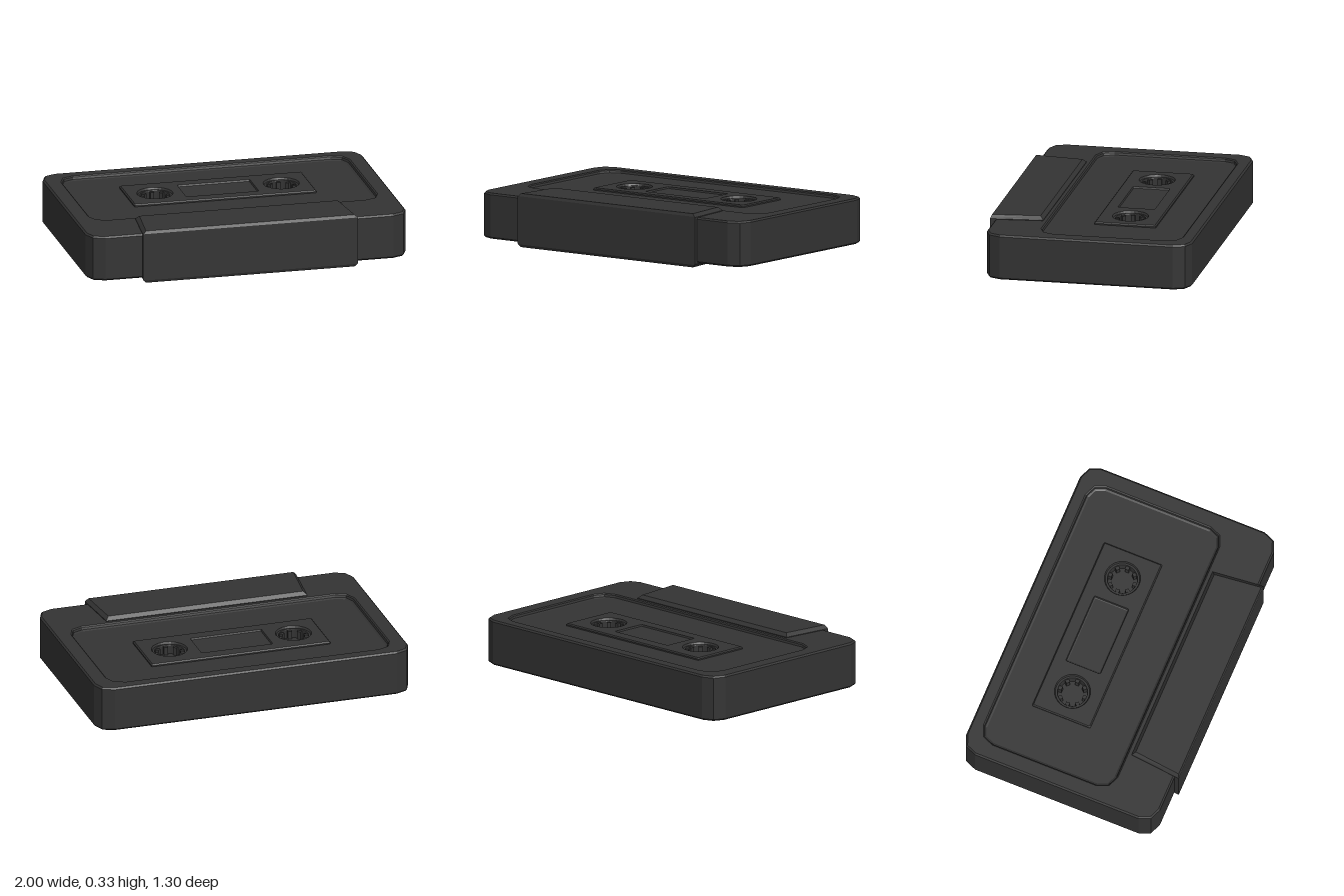
import * as THREE from 'three';

const MID = 0.167; // mid-height: both faces are identical about it
const material = new THREE.MeshStandardMaterial({ color: 0x333333, flatShading: true });

// Rounded rectangle in plan as [x, z] points, counterclockwise from above
function roundRect(x, z0, z1, r, seg = 2) {
  const pts = [];
  const corners = [[x - r, z0 + r], [-x + r, z0 + r], [-x + r, z1 - r], [x - r, z1 - r]];
  corners.forEach(([cx, cz], k) => {
    for (let i = 0; i <= seg; i++) {
      const a = (k + i / seg) * Math.PI / 2;
      pts.push([cx + r * Math.cos(a), cz - r * Math.sin(a)]);
    }
  });
  return pts;
}

function circle(cx, cz, r, n = 32) {
  return Array.from({ length: n }, (_, i) => {
    const a = i / n * Math.PI * 2;
    return [cx + r * Math.cos(a), cz - r * Math.sin(a)];
  });
}

// Skin through rings of { pts, y }, optionally closed at the last ring
function loft(name, rings, cap = false) {
  const pos = [];
  const put = (ring, j) => {
    const [x, z] = ring.pts[j % ring.pts.length];
    pos.push(x, ring.y, z);
  };
  for (let i = 0; i + 1 < rings.length; i++) {
    const a = rings[i], b = rings[i + 1];
    for (let j = 0; j < a.pts.length; j++) {
      put(a, j); put(a, j + 1); put(b, j + 1);
      put(a, j); put(b, j + 1); put(b, j);
    }
  }
  if (cap) {
    const last = rings[rings.length - 1];
    for (let j = 1; j + 1 < last.pts.length; j++) { put(last, 0); put(last, j); put(last, j + 1); }
  }
  const geo = new THREE.BufferGeometry();
  geo.setAttribute('position', new THREE.Float32BufferAttribute(pos, 3));
  geo.computeVertexNormals();
  const mesh = new THREE.Mesh(geo, material);
  mesh.name = name;
  return mesh;
}

// Rounded rectangle ring shrunk by d
const ring = (x, z0, z1, r, d, y) => ({ pts: roundRect(x - d, z0 + d, z1 - d, Math.max(r - d, 0.003)), y });

function createFace() {
  const face = new THREE.Group();
  const top = 0.14, floor = 0.115, panelTop = 0.13;

  // Shell half: side wall, bevelled rim, sunken label area, step up to the panel
  const body = (d, y) => ring(1, -0.65, 0.622, 0.1, d, y);
  const label = (d, y) => ring(0.905, -0.577, 0.307, 0.1, d, y);
  const panel = (d, y) => ring(0.57, -0.355, 0.027, 0.008, d, y);
  face.add(loft('shell', [
    body(0, 0), body(0, top - 0.01), body(0.01, top),
    label(0, top), label(0.008, top - 0.006), label(0.012, floor + 0.006), label(0.024, floor),
    panel(0, floor), panel(0, panelTop - 0.007), panel(0.007, panelTop),
  ]));

  // Panel top, pierced by the window and two hub wells
  const window = (d, y) => ring(0.227, -0.277, -0.048, 0.008, d, y);
  const hubX = [-0.395, 0.395], hubZ = -0.162, hubR = 0.11;
  const toPlane = pts => pts.map(([x, z]) => new THREE.Vector2(x, -z));
  const shape = new THREE.Shape(toPlane(panel(0.007, 0).pts));
  shape.holes.push(new THREE.Path(toPlane(window(0, 0).pts)));
  hubX.forEach(x => shape.holes.push(new THREE.Path(toPlane(circle(x, hubZ, hubR)))));
  const plate = new THREE.Mesh(new THREE.ShapeGeometry(shape).rotateX(-Math.PI / 2), material);
  plate.name = 'centrePanel';
  plate.position.y = panelTop;
  face.add(plate);

  face.add(loft('window', [window(0, panelTop), window(0.004, panelTop - 0.01), window(0.011, panelTop - 0.012)], true));

  // Toothed hub wells
  for (const x of hubX) {
    const hub = new THREE.Group();
    hub.name = 'hub';
    const c = (r, y) => ({ pts: circle(x, hubZ, r), y });
    hub.add(loft('hubWell', [
      c(hubR, panelTop), c(hubR - 0.006, panelTop - 0.012), c(0.092, panelTop - 0.012),
      c(0.09, panelTop - 0.016), c(0.09, panelTop - 0.07),
    ], true));
    for (let i = 0; i < 8; i++) {
      const a = i * Math.PI / 4;
      const tooth = new THREE.Mesh(new THREE.BoxGeometry(0.026, 0.05, 0.024), material);
      tooth.name = 'hubTooth';
      tooth.position.set(x + 0.081 * Math.cos(a), panelTop - 0.043, hubZ - 0.081 * Math.sin(a));
      tooth.rotation.y = a;
      hub.add(tooth);
    }
    face.add(hub);
  }

  // Thicker tapered block along the front edge
  const block = (d, e, y) => ({
    pts: [[0.64 - d, 0.328 + d], [-0.64 + d, 0.328 + d], [-0.672 + d, 0.65 - e], [0.672 - d, 0.65 - e]], y,
  });
  face.add(loft('headBlock', [block(0, 0, 0), block(0, 0, 0.144), block(0.003, 0, 0.148), block(0.02, 0.008, 0.165)], true));
  return face;
}

export function createModel() {
  const model = new THREE.Group();
  model.name = 'cassette';
  const upper = createFace();
  upper.name = 'upperHalf';
  upper.position.y = MID;
  const lower = upper.clone();
  lower.name = 'lowerHalf';
  lower.rotation.z = Math.PI;
  model.add(upper, lower);
  return model;
}
